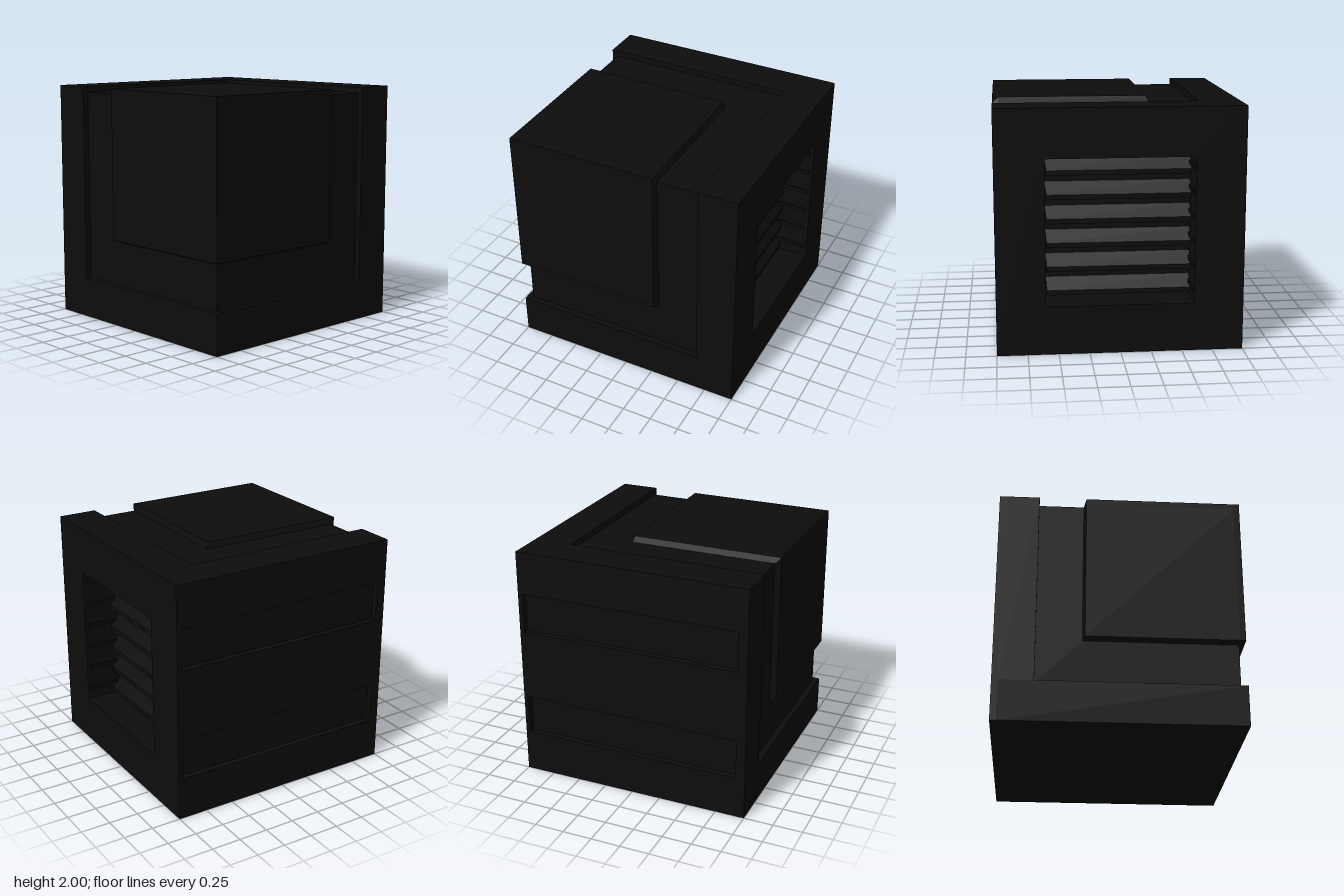
import * as THREE from 'three';

const material = new THREE.MeshStandardMaterial({ color: 0x0d0d0d });

function add(group, name, geometry) {
  const mesh = new THREE.Mesh(geometry, material);
  mesh.name = name;
  group.add(mesh);
  return mesh;
}

// Box between two opposite corners
function box(group, name, [x0, y0, z0], [x1, y1, z1]) {
  const g = new THREE.BoxGeometry(x1 - x0, y1 - y0, z1 - z0);
  g.translate((x0 + x1) / 2, (y0 + y1) / 2, (z0 + z1) / 2);
  return add(group, name, g);
}

function rectangle(Type, x0, y0, x1, y1) {
  return new Type([[x0, y0], [x1, y0], [x1, y1], [x0, y1]].map(p => new THREE.Vector2(...p)));
}

// Corner block whose edges along the channel are chamfered
function cornerBlock() {
  const g = new THREE.BoxGeometry(2, 2, 2, 2, 2, 2);
  const p = g.attributes.position;
  const levels = [[-0.3, 0.95, 1], [0.71, 1.95, 2], [-0.3, 0.95, 1]];
  for (let i = 0; i < p.count; i++) {
    const step = [p.getX(i), p.getY(i), p.getZ(i)].map(v => Math.round(v) + 1);
    const outer = step.includes(2);
    const c = step.map((s, a) => levels[a][s] + (s === 0 && outer ? 0.02 : 0));
    p.setXYZ(i, ...c);
  }
  const flat = g.toNonIndexed();
  flat.computeVertexNormals();
  return flat;
}

export function createModel() {
  const model = new THREE.Group();

  // Core gives the channel floors; the block fills the corner inside the channel
  box(model, 'channelCore', [-0.67, 0.34, -0.67], [0.95, 1.95, 0.95]);
  add(model, 'cornerBlock', cornerBlock());

  // Outer slabs
  box(model, 'bottomSlab', [-0.95, 0, -0.67], [1, 0.34, 1]);
  box(model, 'sideSlab', [-0.95, 0.34, -0.67], [-0.67, 2, 1]);

  // Back slab with a square window
  const back = rectangle(THREE.Shape, -0.95, 0, 1, 2);
  back.holes.push(rectangle(THREE.Path, -0.6, 0.4, 0.6, 1.6));
  add(model, 'backSlab', new THREE.ExtrudeGeometry(back, { depth: 0.33, bevelEnabled: false }))
    .position.z = -1;

  // Side plate with two long horizontal slots
  const plate = rectangle(THREE.Shape, -1, 0, 1, 2);
  for (const y of [0.36, 1.3]) {
    plate.holes.push(rectangle(THREE.Path, -0.96, y, 0.92, y + 0.34));
  }
  const sidePlate = add(model, 'sidePlate',
    new THREE.ExtrudeGeometry(plate, { depth: 0.05, bevelEnabled: false }));
  sidePlate.rotation.y = -Math.PI / 2;
  sidePlate.position.x = -0.95;

  // Sloping louvers deep in the window, with ribs along both window walls
  const slat = new THREE.Shape([[-0.67, 0.16], [-0.75, 0.06], [-0.75, 0.02], [-0.67, 0.06]]
    .map(p => new THREE.Vector2(...p)));
  const slatGeometry = new THREE.ExtrudeGeometry(slat, { depth: 1.2, bevelEnabled: false });
  const louvers = new THREE.Group();
  louvers.name = 'louvers';
  model.add(louvers);
  for (let i = 0; i < 6; i++) {
    const y = 0.4 + i * 0.2;
    const louver = add(louvers, 'louver', slatGeometry);
    louver.rotation.y = -Math.PI / 2;
    louver.position.set(0.6, y, 0);
    for (const s of [-1, 1]) {
      const x = s * 0.593;
      box(louvers, 'wallRib', [x - 0.007, y + 0.09, -0.97], [x + 0.007, y + 0.12, -0.67]);
    }
  }
  return model;
}
